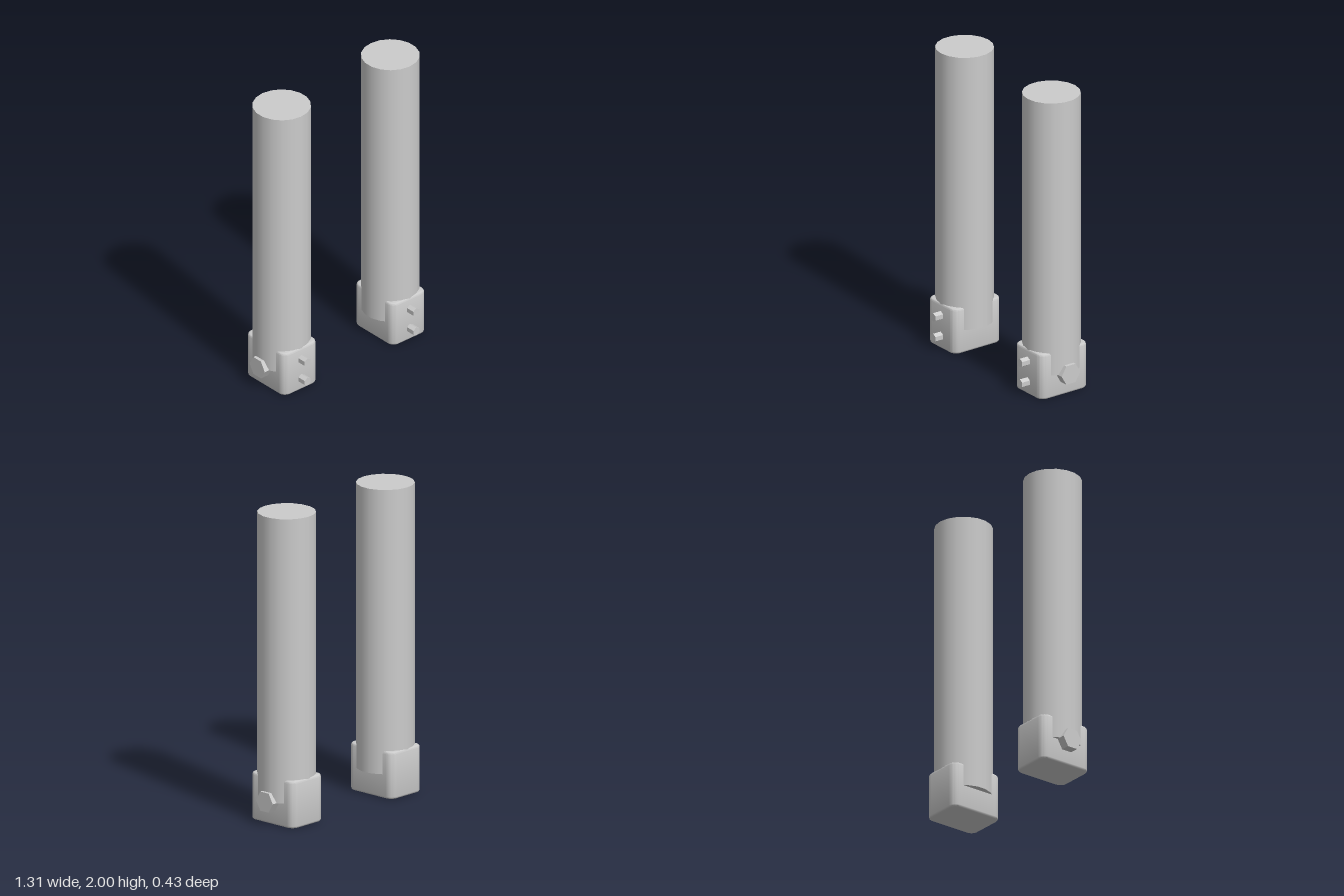
import * as THREE from 'three';
import { toCreasedNormals } from 'three/addons/utils/BufferGeometryUtils.js';

const grey = new THREE.MeshStandardMaterial({ color: 0xcccccc });

function part(name, geometry, x, y, z, parent) {
  const mesh = new THREE.Mesh(geometry, grey);
  mesh.name = name;
  mesh.position.set(x, y, z);
  parent.add(mesh);
  return mesh;
}

// Upright block with rounded corners and softened top and bottom rims
function roundedBlock(w, h, d, radius, bevel) {
  const a = w / 2 - bevel, b = d / 2 - bevel, r = radius - bevel;
  const s = new THREE.Shape();
  s.absarc(a - r, b - r, r, 0, Math.PI / 2);
  s.absarc(-a + r, b - r, r, Math.PI / 2, Math.PI);
  s.absarc(-a + r, -b + r, r, Math.PI, Math.PI * 1.5);
  s.absarc(a - r, -b + r, r, Math.PI * 1.5, Math.PI * 2);
  s.closePath();
  const g = new THREE.ExtrudeGeometry(s, {
    depth: h - 2 * bevel, bevelSize: bevel, bevelThickness: bevel, bevelSegments: 3, curveSegments: 5,
  });
  g.rotateX(-Math.PI / 2).translate(0, bevel, 0);
  return toCreasedNormals(g, 0.7);
}

// Six-sided bolt, lying along y
function hexBolt(radius, length) {
  return toCreasedNormals(new THREE.CylinderGeometry(radius, radius, length, 6), 0.5);
}

function createLeg(side) {
  const leg = new THREE.Group();
  leg.name = side > 0 ? 'leftLeg' : 'rightLeg';

  // Post sunk halfway into the foot, bulging through its sides
  part('post', new THREE.CylinderGeometry(0.184, 0.184, 1.845, 18), 0, 0.155 + 1.845 / 2, 0, leg);
  part('foot', roundedBlock(0.286, 0.305, 0.373, 0.05, 0.014), 0, 0, 0, leg);

  // Two small bolts on the front
  for (const y of [0.085, 0.225]) {
    const bolt = part('frontBolt', hexBolt(0.029, 0.1), 0, y, 0.196, leg);
    bolt.rotation.x = Math.PI / 2;
  }

  // Large bolt on the outer side, corners pointing forward and back
  const pivot = part('sideBolt', hexBolt(0.0715, 0.1), side * 0.153, 0.155, 0, leg);
  pivot.rotation.z = Math.PI / 2;

  leg.position.set(side * 0.45, 0, -0.03);
  return leg;
}

export function createModel() {
  const model = new THREE.Group();
  model.name = 'pairOfLegs';
  for (const side of [-1, 1]) model.add(createLeg(side));
  return model;
}
